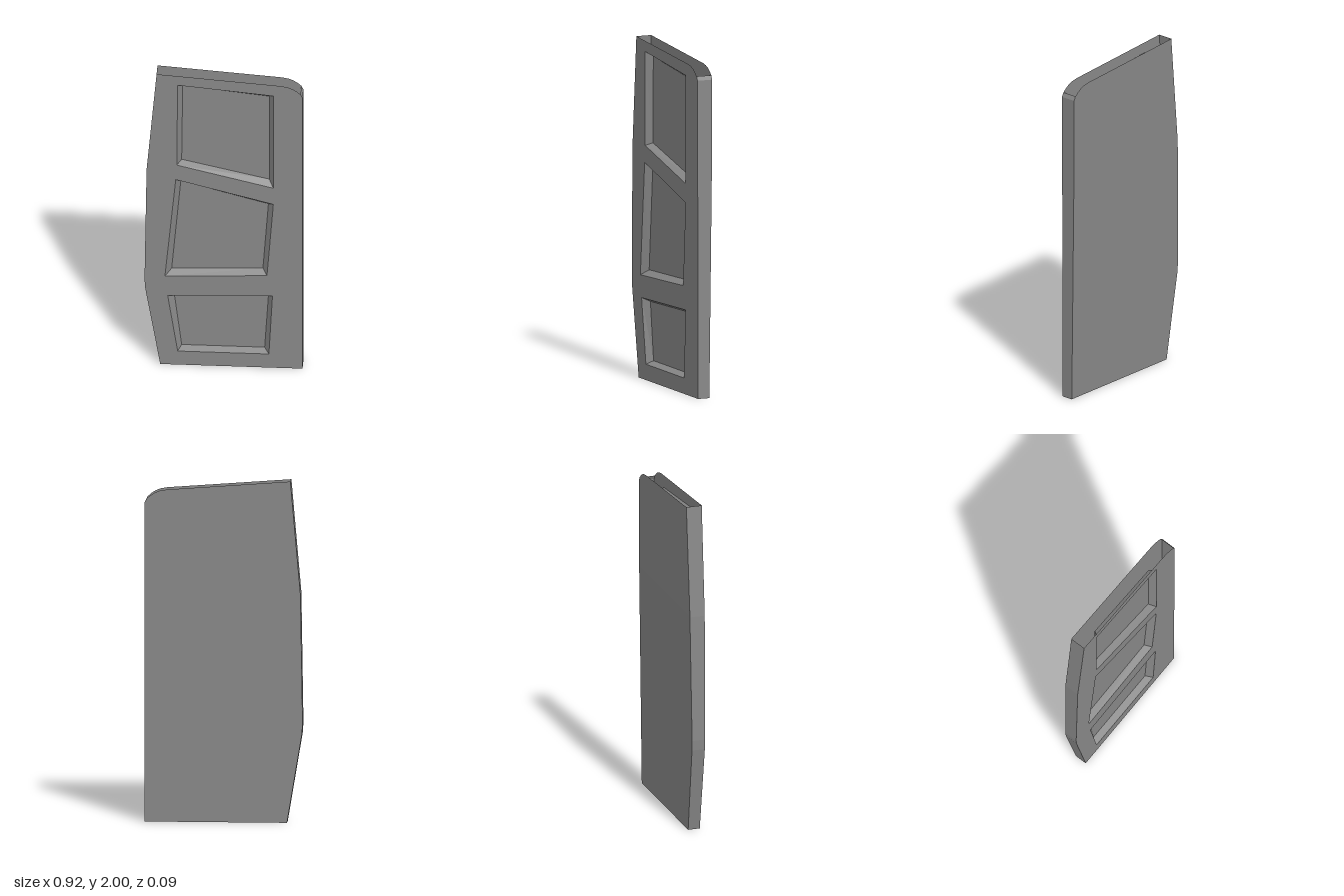
import * as THREE from 'three';

const BEND = 1.34, RECESS_DEPTH = 0.039;
// both skins lean; the back leans more below the bend
const frontZ = y => 0.041 + 0.0025 * y;
const floorZ = y => frontZ(y) - RECESS_DEPTH;
const backZ = y => (y < BEND ? -0.03 - 0.016 * y / BEND : -0.046 - 0.002 * (y - BEND) / (2 - BEND));

const material = new THREE.MeshStandardMaterial({
  color: 0x888888, flatShading: true, side: THREE.DoubleSide,
});

// edges from bottom to top, and the top with its rounded corner from right to left
const leftEdge = [[-0.368, 0], [-0.455, 0.52], [-0.459, 0.58], [-0.447, BEND], [-0.389, 2]];
const rightEdge = [[0.457, 0], [0.457, BEND], [0.457, 1.868], [0.445, 1.892]];
const topEdge = [[0.425, 1.91], [0.4, 1.927], [0.37, 1.939], [0.33, 1.946]];

// recessed panels: corners of the rim and of the floor, clockwise from top left
const recesses = [
  { name: 'upperRecess',
    rim: [[-0.267, 1.928], [0.288, 1.875], [0.288, 1.239], [-0.272, 1.377]],
    floor: [[-0.24, 1.902], [0.262, 1.849], [0.262, 1.276], [-0.246, 1.393]] },
  { name: 'middleRecess',
    rim: [[-0.278, 1.276], [0.288, 1.127], [0.251, 0.634], [-0.341, 0.607]],
    floor: [[-0.251, 1.244], [0.257, 1.106], [0.225, 0.66], [-0.304, 0.639]] },
  { name: 'lowerRecess',
    rim: [[-0.325, 0.475], [0.283, 0.496], [0.262, 0.093], [-0.267, 0.093]],
    floor: [[-0.288, 0.456], [0.257, 0.475], [0.235, 0.114], [-0.246, 0.114]] },
];

const points = list => list.map(([x, y]) => new THREE.Vector2(x, y));
const atDepth = (list, depth) => list.map(([x, y]) => [x, y, depth(y)]);

function addMesh(parent, geometry, name) {
  const mesh = new THREE.Mesh(geometry, material);
  mesh.name = name;
  parent.add(mesh);
}

// flat sheet with optional holes, set at a depth given by height
function sheet(outline, depth, holes = [], faceBack = false) {
  const shape = new THREE.Shape(points(outline));
  holes.forEach(h => shape.holes.push(new THREE.Path(points(h))));
  const geometry = new THREE.ShapeGeometry(shape);
  const p = geometry.attributes.position;
  for (let i = 0; i < p.count; i++) p.setZ(i, depth(p.getY(i)));
  if (faceBack) geometry.index.array.reverse();
  geometry.computeVertexNormals();
  return geometry;
}

// band of quads joining two matching rows of 3D points
function band(a, b) {
  const v = [];
  for (let i = 0; i < a.length - 1; i++) {
    v.push(...a[i], ...b[i], ...b[i + 1], ...a[i], ...b[i + 1], ...a[i + 1]);
  }
  const geometry = new THREE.BufferGeometry();
  geometry.setAttribute('position', new THREE.Float32BufferAttribute(v, 3));
  geometry.computeVertexNormals();
  return geometry;
}

export function createModel() {
  const door = new THREE.Group();
  door.name = 'doorPanel';

  // front skin with three openings
  const outline = [...rightEdge, ...topEdge, ...[...leftEdge].reverse()];
  addMesh(door, sheet(outline, frontZ, recesses.map(r => r.rim)), 'frontSkin');

  // back skin in two planes meeting at the bend
  const lower = outline.filter(([, y]) => y <= BEND);
  const upper = outline.filter(([, y]) => y >= BEND);
  addMesh(door, sheet(lower, backZ, [], true), 'lowerBackSkin');
  addMesh(door, sheet(upper, backZ, [], true), 'upperBackSkin');

  // side walls; top and bottom stay open
  addMesh(door, band(atDepth(leftEdge, backZ), atDepth(leftEdge, frontZ)), 'rightSideWall');
  addMesh(door, band(atDepth(rightEdge, frontZ), atDepth(rightEdge, backZ)), 'leftSideWall');

  // recessed panels with sloping rims
  for (const { name, rim, floor } of recesses) {
    const group = new THREE.Group();
    group.name = name;
    const loop = (list, depth) => atDepth([...list, list[0]], depth);
    addMesh(group, band(loop(floor, floorZ), loop(rim, frontZ)), 'slopingRim');
    addMesh(group, sheet(floor, floorZ), 'recessFloor');
    door.add(group);
  }
  return door;
}
